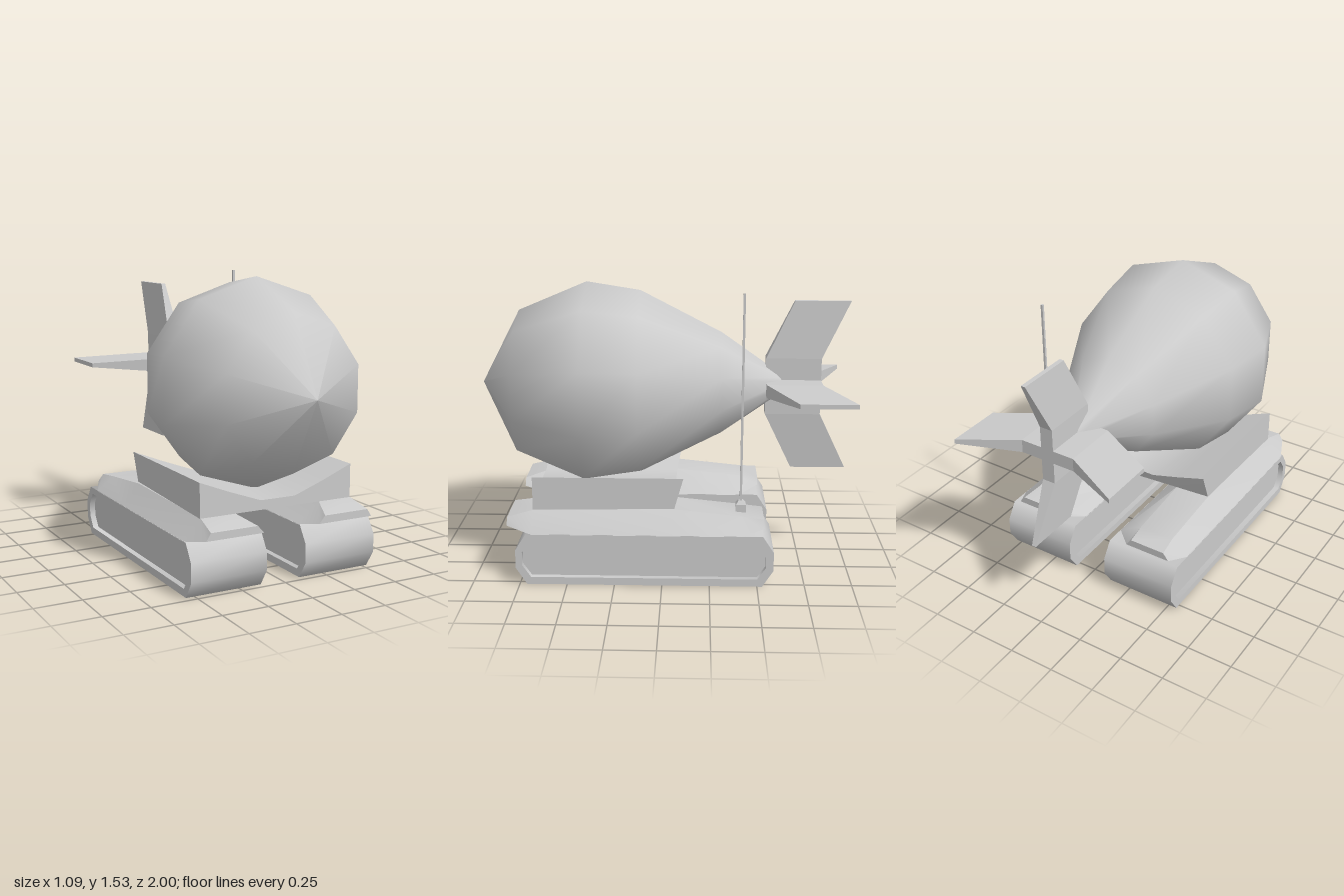
import * as THREE from 'three';
import { toCreasedNormals } from 'three/addons/utils/BufferGeometryUtils.js';

const material = new THREE.MeshStandardMaterial({ color: 0xcccccc });

function add(parent, name, geometry) {
  const mesh = new THREE.Mesh(geometry, material);
  mesh.name = name;
  parent.add(mesh);
  return mesh;
}

// Closed solid through rings of points, each counter-clockwise about the direction of travel
function loft(rings, crease = 0.6) {
  const pos = [];
  const tri = (...points) => points.forEach((p) => pos.push(...p));
  const n = rings[0].length;
  for (let r = 0; r < rings.length - 1; r++) {
    const a = rings[r], b = rings[r + 1];
    for (let i = 0; i < n; i++) {
      const j = (i + 1) % n;
      tri(a[i], a[j], b[j]);
      tri(a[i], b[j], b[i]);
    }
  }
  const first = rings[0], last = rings[rings.length - 1];
  for (let i = 1; i < n - 1; i++) {
    tri(first[0], first[i + 1], first[i]);
    tri(last[0], last[i], last[i + 1]);
  }
  const g = new THREE.BufferGeometry();
  g.setAttribute('position', new THREE.Float32BufferAttribute(pos, 3));
  return toCreasedNormals(g, crease);
}

// Chamfered side outline of a track, in (z, y)
function trackOutline(z0, z1, y0, y1, cz, cy) {
  return [
    [z0 + cz, y0], [z1 - cz, y0], [z1, y0 + cy], [z1, y1 - cy],
    [z1 - cz, y1], [z0 + cz, y1], [z0, y1 - cy], [z0, y0 + cy],
  ].map(([z, y]) => new THREE.Vector2(z, y));
}

function extrudeAcross(shape, width) {
  const g = new THREE.ExtrudeGeometry(shape, { depth: width, bevelEnabled: false });
  g.translate(0, 0, -width / 2);
  g.rotateY(-Math.PI / 2);
  return toCreasedNormals(g, 1.02);
}

function addTrackUnit(root, side) {
  const unit = new THREE.Group();
  unit.name = side > 0 ? 'leftTrackUnit' : 'rightTrackUnit';
  unit.position.x = -0.009 + side * 0.326;
  root.add(unit);

  // Belt with a recessed panel on both faces
  const belt = new THREE.Shape(trackOutline(-0.585, 0.77, 0, 0.28, 0.058, 0.09));
  const inner = trackOutline(-0.545, 0.735, 0.04, 0.243, 0.045, 0.065);
  belt.holes.push(new THREE.Path(inner));
  add(unit, 'trackBelt', extrudeAcross(belt, 0.423));
  add(unit, 'trackPanel', extrudeAcross(new THREE.Shape(inner), 0.36));

  // Cover: z, bottom y, inner x, outer x, top y, top inner x, top outer x
  const sections = [
    [-0.535, 0.305, -0.1, 0.16, 0.345, -0.07, 0.13],
    [-0.42, 0.278, -0.2125, 0.2125, 0.355, -0.08, 0.115],
    [-0.05, 0.278, -0.2125, 0.2125, 0.393, -0.08, 0.115],
    [0.685, 0.278, -0.2125, 0.2125, 0.38, -0.08, 0.115],
    [0.82, 0.305, -0.165, 0.155, 0.345, -0.13, 0.13],
  ];
  const rings = sections.map(([z, yb, bi, bo, yt, ti, to]) => {
    const ring = [[bi, yb], [bo, yb], [to, yt], [ti, yt]].map(([x, y]) => [side * x, y, z]);
    return side > 0 ? ring : ring.reverse();
  });
  add(unit, 'trackCover', loft(rings));
}

export function createModel() {
  const root = new THREE.Group();
  root.name = 'trackedBomb';

  addTrackUnit(root, 1);
  addTrackUnit(root, -1);

  // Cradle with a concave top, joining the two tracks
  const top = [[0.43, 0.56], [0.27, 0.495], [0.09, 0.43], [-0.11, 0.43], [-0.29, 0.495], [-0.455, 0.56]];
  const cradleRing = (zTop, zBottom, yLeft, yRight) => [
    [-0.012, (yLeft + yRight) / 2, zBottom],
    [0.43, yLeft, zBottom],
    ...top.map(([x, y]) => [x, y, zBottom + (zTop - zBottom) * (y - 0.38) / 0.18]),
    [-0.455, yRight, zBottom],
  ];
  add(root, 'cradle', loft([
    cradleRing(-0.11, -0.05, 0.348, 0.405),
    cradleRing(0.685, 0.685, 0.38, 0.38),
  ]));

  // Ten-sided teardrop body lying along z
  const profile = [
    [0, -0.69], [0.05, -0.64], [0.283, -0.31], [0.51, 0.13],
    [0.556, 0.42], [0.4, 0.79], [0, 1],
  ].map(([r, z]) => new THREE.Vector2(r, z));
  const body = new THREE.LatheGeometry(profile, 10);
  body.rotateX(Math.PI / 2);
  add(root, 'bombBody', body).position.set(0.01, 0.975, 0);

  // Four swept tail fins: radius, half thickness, trailing z, leading z
  const finSections = [
    [0, 0.036, -0.85, -0.55],
    [0.155, 0.036, -0.85, -0.55],
    [0.466, 0.012, -1, -0.7],
  ];
  const fin = loft(finSections.map(([x, t, zt, zl]) => [[x, -t, zt], [x, t, zt], [x, t, zl], [x, -t, zl]]), 0.05);
  const tail = new THREE.Group();
  tail.name = 'tail';
  tail.position.set(0.014, 0.967, 0);
  root.add(tail);
  for (let i = 0; i < 4; i++) add(tail, 'tailFin', fin).rotation.z = i * Math.PI / 2;

  // Whip antenna on a small tapered foot
  const antenna = new THREE.Group();
  antenna.name = 'antenna';
  antenna.position.set(0.34, 0, -0.415);
  root.add(antenna);
  const square = (r, y) => [[-r, y, r], [r, y, r], [r, y, -r], [-r, y, -r]];
  add(antenna, 'antennaFoot', loft([square(0.027, 0.345), square(0.027, 0.395), square(0.012, 0.415)], 0.1));
  add(antenna, 'antennaRod', loft([square(0.006, 0.4), square(0.006, 1.52)], 0.1));

  return root;
}
